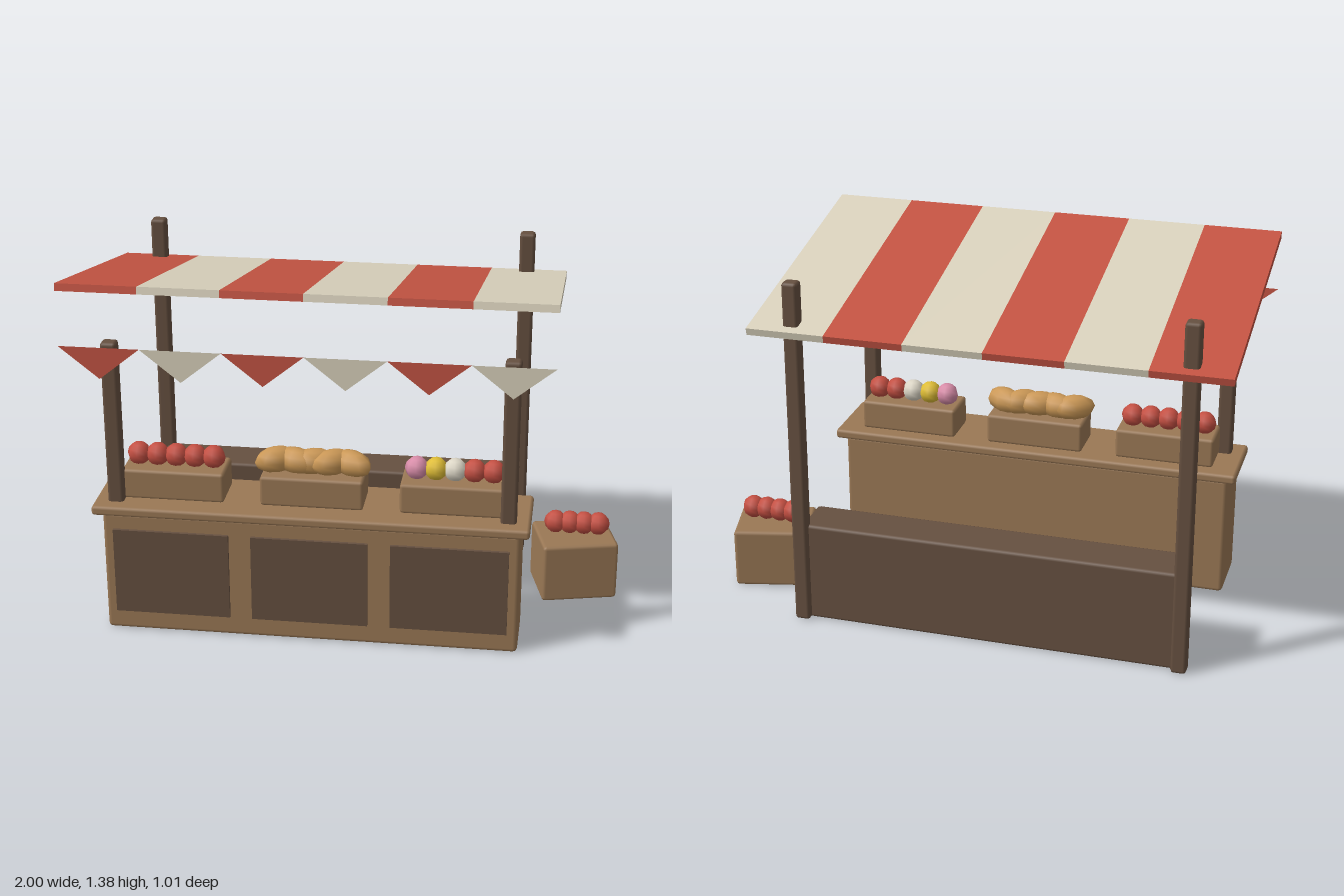
import * as THREE from 'three';
import { RoundedBoxGeometry } from 'three/addons/geometries/RoundedBoxGeometry.js';

const mat = (name, color, extra = {}) => {
  const m = new THREE.MeshStandardMaterial({ color, ...extra });
  m.name = name;
  return m;
};

export function createModel() {
  const wood = mat('lightWood', 0x9a7855);
  const darkWood = mat('darkWood', 0x665040);
  const red = mat('redCloth', 0xc45443, { side: THREE.DoubleSide });
  const cream = mat('creamCloth', 0xdad2bd, { side: THREE.DoubleSide });
  const apple = mat('redFruit', 0xc44f42);
  const bread = mat('breadCrust', 0xcb9856);
  const pink = mat('pinkFruit', 0xd88ca8);
  const yellow = mat('yellowFruit', 0xdfbd35);
  const white = mat('whiteFruit', 0xdcd6c6);

  const stall = new THREE.Group();
  stall.name = 'marketStall';
  const add = (name, geometry, material, x, y, z, parent = stall) => {
    const mesh = new THREE.Mesh(geometry, material);
    mesh.name = name;
    mesh.position.set(x, y, z);
    parent.add(mesh);
    return mesh;
  };
  // Chamfered timber block, placed by the centre of its base
  const block = (name, w, h, d, material, x, y, z, r = 0.012) =>
    add(name, new RoundedBoxGeometry(w, h, d, 1, r), material, x, y + h / 2, z);

  const cx = -0.129; // middle of the stall

  // Counter with top and three front panels
  block('counterBody', 1.535, 0.478, 0.25, wood, cx, 0, 0.31, 0.016);
  block('counterTop', 1.6, 0.037, 0.315, wood, cx, 0.477, 0.31);
  for (const i of [-1, 0, 1]) {
    add('counterPanel', new THREE.BoxGeometry(0.43, 0.335, 0.012), darkWood, cx + i * 0.513, 0.247, 0.441);
  }

  // Posts and rear bench
  for (const side of [-1, 1]) {
    block('frontPost', 0.058, 1.132, 0.058, darkWood, cx + side * 0.72, 0, 0.385);
    block('backPost', 0.058, 1.34, 0.058, darkWood, cx + side * 0.72, 0, -0.439);
  }
  block('rearBench', 1.44, 0.385, 0.18, darkWood, cx, 0, -0.35);

  // Sloping striped canopy and pennants along its front
  const canopy = new THREE.Group();
  canopy.name = 'canopy';
  canopy.position.set(cx, 1.262, 0);
  canopy.rotation.x = -0.205;
  stall.add(canopy);
  const stripe = 1.745 / 6;
  const pennant = new THREE.ShapeGeometry(new THREE.Shape([
    new THREE.Vector2(-stripe / 2, 0), new THREE.Vector2(0, -0.117), new THREE.Vector2(stripe / 2, 0),
  ]));
  for (let i = 0; i < 6; i++) {
    const x = (i - 2.5) * stripe;
    const cloth = i % 2 ? cream : red;
    add('canopyStripe', new THREE.BoxGeometry(stripe, 0.027, 1.025), cloth, x, 0, 0, canopy);
    add('pennant', pennant, cloth, cx + x, 1.15, 0.505);
  }

  // Crates on the counter
  for (const i of [-1, 0, 1]) {
    block('displayCrate', 0.38, 0.115, 0.168, wood, cx + i * 0.513, 0.512, 0.292);
  }

  // Rows of round fruit
  const ball = new THREE.SphereGeometry(0.044, 8, 6);
  const fruitRow = (colors, x, step, y, z) => colors.forEach((m, i) =>
    add('fruit', ball, m, x + (i - (colors.length - 1) / 2) * step, y, z));
  fruitRow([apple, apple, apple, apple, apple], cx - 0.513, 0.07, 0.661, 0.292);
  fruitRow([pink, yellow, white, apple, apple], cx + 0.517, 0.07, 0.661, 0.292);

  // Loaves, each turned a little differently
  [0.5, -0.35, 0.3, 0.6, -0.5].forEach((turn, i) => {
    const loaf = add('loaf', new THREE.SphereGeometry(1, 8, 6), bread, cx + (i - 2) * 0.069, 0.664, 0.292);
    loaf.scale.set(0.085, 0.05, 0.05);
    loaf.rotation.y = turn;
  });

  // Turned crate of fruit on the ground
  block('groundCrate', 0.293, 0.232, 0.247, wood, 0.826, 0, -0.13, 0.014).rotation.y = 0.24;
  fruitRow([apple, apple, apple, apple], 0.832, 0.055, 0.275, -0.13);

  return stall;
}
